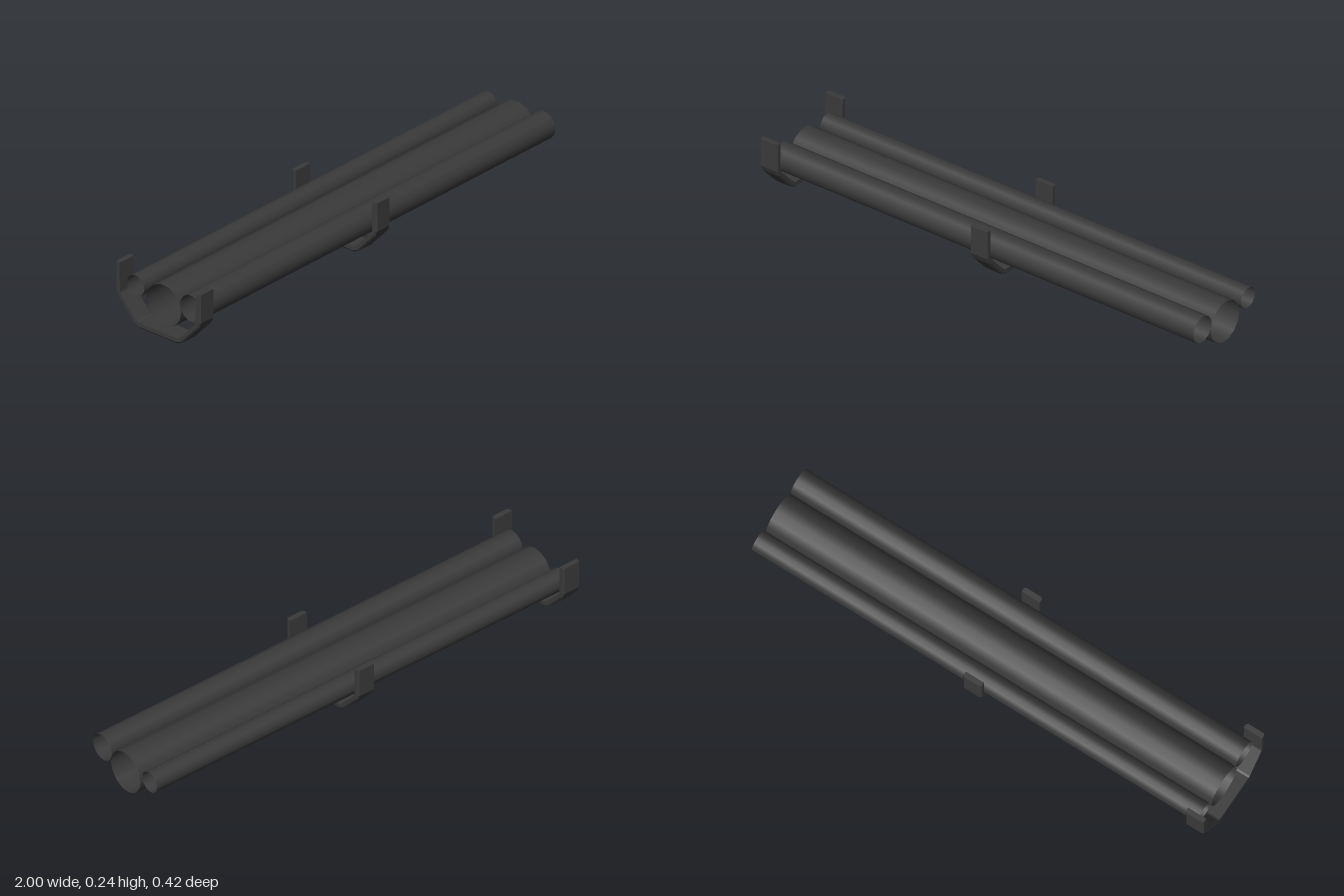
import * as THREE from 'three';

const DARK = 0x3a3a3a;

// Half profile of a cradle as [outer z, outer y, inner z, inner y], top to bottom
const HALF = [
  [0.209, 0.242, 0.188, 0.242],
  [0.209, 0.125, 0.187, 0.122],
  [0.198, 0.1, 0.184, 0.115],
  [0.118, 0.014, 0.105, 0.029],
  [0.092, 0.002, 0.097, 0.026],
];
// Cross-section of the strap as [x, share of thickness from inside to outside]
const SECTION = [[-0.04, 0], [0.04, 0], [0.04, 0.7], [0.034, 1], [-0.034, 1], [-0.04, 0.7]];

function cradleGeometry() {
  const mirrored = HALF.map(([oz, oy, iz, iy]) => [-oz, oy, -iz, iy]).reverse();
  const rings = [...HALF, ...mirrored].map(([oz, oy, iz, iy]) =>
    SECTION.map(([x, t]) => [x, iy + (oy - iy) * t, iz + (oz - iz) * t]));
  const pos = [];
  const tri = (a, b, c) => pos.push(...a, ...b, ...c);
  const n = SECTION.length;
  for (let r = 0; r < rings.length - 1; r++) {
    const a = rings[r], b = rings[r + 1];
    for (let i = 0; i < n; i++) {
      const j = (i + 1) % n;
      tri(a[i], a[j], b[j]);
      tri(a[i], b[j], b[i]);
    }
  }
  // end caps
  const first = rings[0], last = rings[rings.length - 1];
  for (let i = 1; i < n - 1; i++) {
    tri(first[0], first[i + 1], first[i]);
    tri(last[0], last[i], last[i + 1]);
  }
  const g = new THREE.BufferGeometry();
  g.setAttribute('position', new THREE.Float32BufferAttribute(pos, 3));
  g.computeVertexNormals();
  return g;
}

export function createModel() {
  const group = new THREE.Group();
  const pipeMat = new THREE.MeshStandardMaterial({ color: DARK, side: THREE.DoubleSide });
  const cradleMat = new THREE.MeshStandardMaterial({ color: DARK });

  // Open thin-walled pipes: name, radius, y, z
  const pipes = [
    ['mainPipe', 0.086, 0.112, -0.006],
    ['frontPipe', 0.055, 0.146, 0.13],
    ['backPipe', 0.043, 0.146, -0.145],
  ];
  for (const [name, radius, y, z] of pipes) {
    const g = new THREE.CylinderGeometry(radius, radius, 1.96, 14, 1, true);
    g.rotateZ(-Math.PI / 2);
    const pipe = new THREE.Mesh(g, pipeMat);
    pipe.name = name;
    pipe.position.set(0.02, y, z);
    group.add(pipe);
  }

  // Strap cradles at the end and the middle
  const g = cradleGeometry();
  for (const [name, x] of [['endCradle', -0.96], ['middleCradle', 0.018]]) {
    const cradle = new THREE.Mesh(g, cradleMat);
    cradle.name = name;
    cradle.position.x = x;
    group.add(cradle);
  }
  return group;
}
